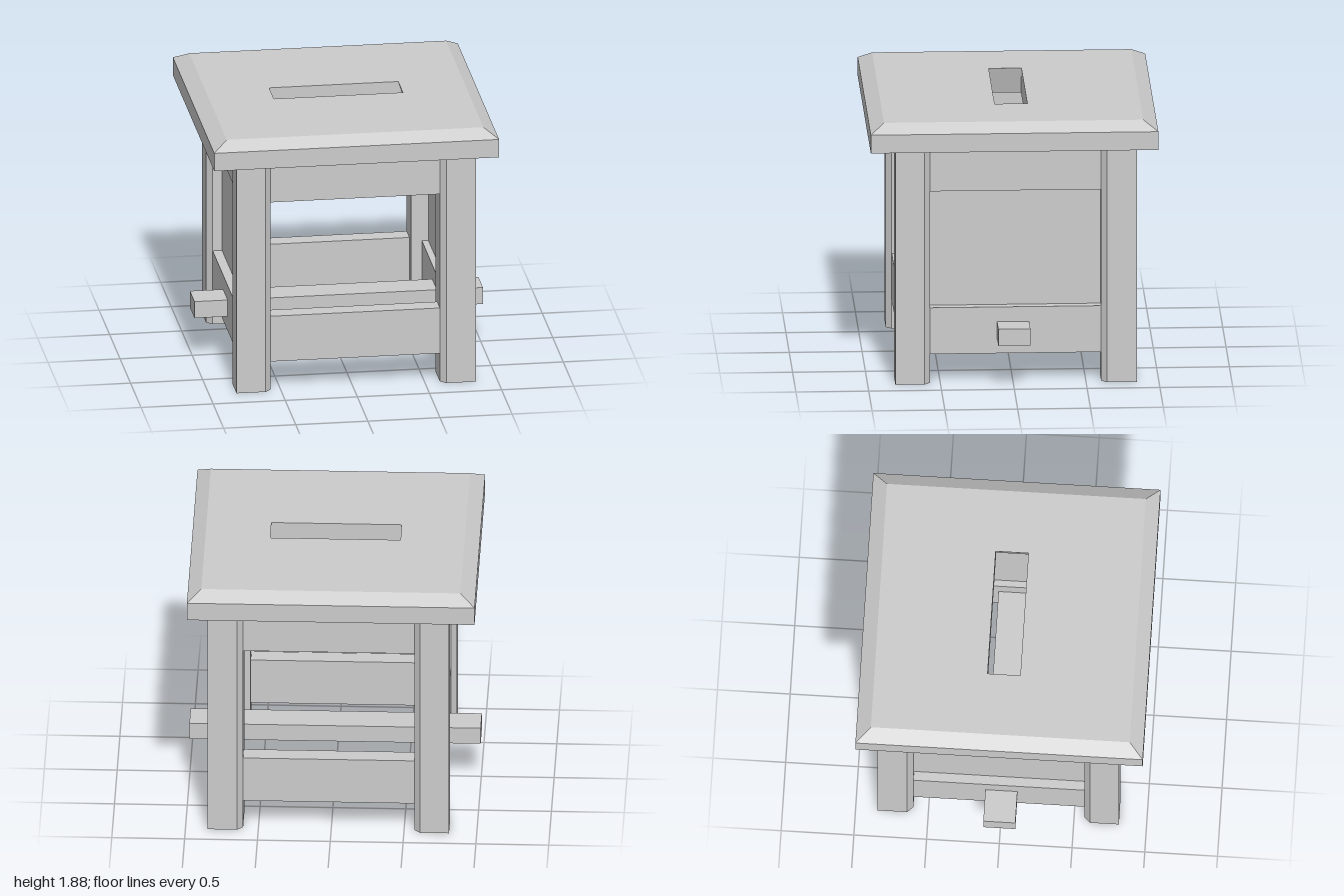
import * as THREE from 'three';

const material = new THREE.MeshStandardMaterial({ color: 0xcccccc, flatShading: true });

// Leg grid lines: outer and inner faces on each side
const X = { lo: [-0.81, -0.57], hi: [0.85, 0.605] };
const Z = { lo: [-0.85, -0.605], hi: [0.81, 0.57] };
const CHAMFER = 0.04, RAIL = 0.13, TOP = 1.69;

function add(parent, name, geometry) {
  const mesh = new THREE.Mesh(geometry, material);
  mesh.name = name;
  parent.add(mesh);
  return mesh;
}

// Box given by its limits on each axis
function block(parent, name, [x0, x1], [y0, y1], [z0, z1]) {
  const mesh = add(parent, name, new THREE.BoxGeometry(Math.abs(x1 - x0), y1 - y0, Math.abs(z1 - z0)));
  mesh.position.set((x0 + x1) / 2, (y0 + y1) / 2, (z0 + z1) / 2);
}

// Square post with the two side corners chamfered, sharp on the outer and inner corners
function leg(parent, name, [xo, xi], [zo, zi]) {
  const cx = Math.sign(xo) * CHAMFER, cz = Math.sign(zo) * CHAMFER;
  const shape = new THREE.Shape([
    [xo, zo], [xi + cx, zo], [xi, zo - cz], [xi, zi], [xo - cx, zi], [xo, zi + cz],
  ].map(([x, z]) => new THREE.Vector2(x, -z)));
  const geometry = new THREE.ExtrudeGeometry(shape, { depth: TOP, bevelEnabled: false });
  add(parent, name, geometry.rotateX(-Math.PI / 2));
}

// Closed loft through rectangular rings [x0, x1, z0, z1, y]
function ringLoft(rings) {
  const corner = ([x0, x1, z0, z1, y], k) =>
    [[x1, y, z1], [x1, y, z0], [x0, y, z0], [x0, y, z1]][k % 4];
  const positions = [];
  rings.forEach((ring, i) => {
    const next = rings[(i + 1) % rings.length];
    for (let k = 0; k < 4; k++) {
      const a = corner(ring, k), b = corner(ring, k + 1);
      const c = corner(next, k + 1), d = corner(next, k);
      positions.push(...a, ...b, ...c, ...a, ...c, ...d);
    }
  });
  const geometry = new THREE.BufferGeometry();
  geometry.setAttribute('position', new THREE.Float32BufferAttribute(positions, 3));
  geometry.computeVertexNormals();
  return geometry;
}

export function createModel() {
  const stool = new THREE.Group();
  stool.name = 'stepStool';

  // Seat with bevelled rim and a hand slot that widens lengthwise underneath
  add(stool, 'seat', ringLoft([
    [-0.99, 0.985, -0.99, 0.985, TOP],
    [-0.99, 0.985, -0.99, 0.985, 1.82],
    [-0.89, 0.89, -0.89, 0.89, 1.88],
    [-0.45, 0.445, -0.115, 0.11, 1.88],
    [-0.51, 0.505, -0.115, 0.11, TOP],
  ]));

  // Four legs
  for (const sx of ['lo', 'hi'])
    for (const sz of ['lo', 'hi'])
      leg(stool, (sz === 'hi' ? 'front' : 'back') + (sx === 'hi' ? 'Left' : 'Right') + 'Leg', X[sx], Z[sz]);

  // Aprons under the seat and lower rails on all sides
  const spanX = [X.lo[1], X.hi[1]], spanZ = [Z.lo[1], Z.hi[1]];
  for (const [name, y] of [['Apron', [1.365, TOP]], ['Rail', [0.205, 0.535]]]) {
    for (const s of ['lo', 'hi']) {
      const sign = s === 'hi' ? 1 : -1;
      const zo = Z[s][0] - sign * CHAMFER, xo = X[s][0] - sign * CHAMFER;
      block(stool, (s === 'hi' ? 'front' : 'back') + name, spanX, y, [zo, zo - sign * RAIL]);
      block(stool, (s === 'hi' ? 'left' : 'right') + name, [xo, xo - sign * RAIL], y, spanZ);
    }
  }

  // Thin side panels between apron and rail
  block(stool, 'leftPanel', [0.725, 0.745], [0.535, 1.365], spanZ);
  block(stool, 'rightPanel', [-0.705, -0.685], [0.535, 1.365], spanZ);

  // Stretcher bar running through both side rails
  block(stool, 'stretcher', [-1, 1], [0.31, 0.43], [-0.11, 0.11]);

  return stool;
}
